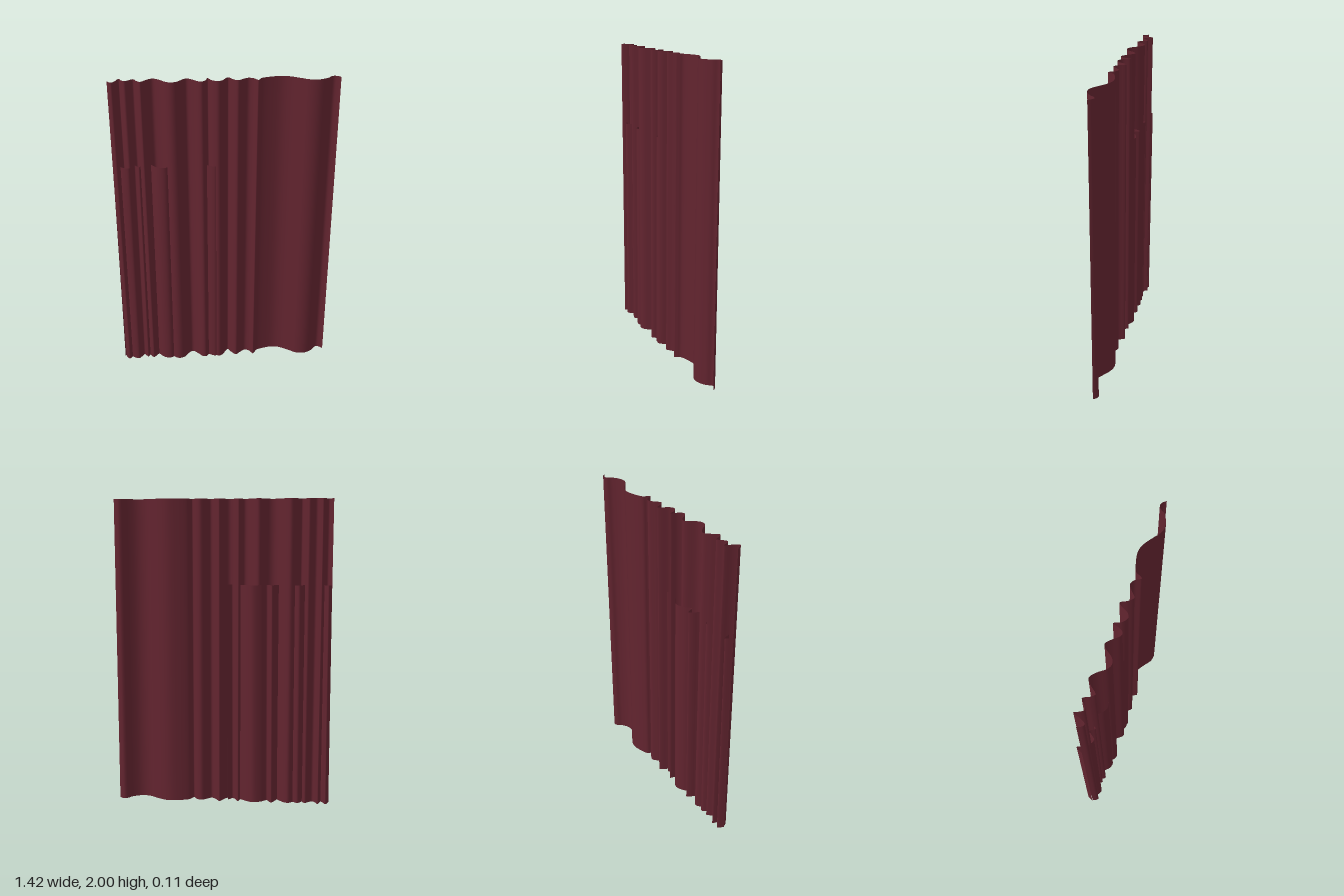
import * as THREE from 'three';

// Fold lines seen from above, as [x, z] from the right edge to the left edge
const longFolds = [
  [-0.71, 0], [-0.695, 0.028], [-0.678, 0.034], [-0.66, 0.005], [-0.643, -0.043], [-0.625, -0.01],
  [-0.607, 0.008], [-0.585, -0.005], [-0.555, -0.03], [-0.535, 0.005], [-0.515, 0.028], [-0.5, 0.02],
  [-0.475, -0.012], [-0.44, -0.038], [-0.4, -0.012], [-0.36, 0.035], [-0.325, 0.049], [-0.29, 0.033],
  [-0.255, -0.015], [-0.23, -0.028], [-0.2, -0.005], [-0.165, 0.033], [-0.14, 0.038], [-0.12, 0.012],
  [-0.106, -0.03], [-0.085, 0.012], [-0.05, 0.036], [-0.02, 0.02], [0.005, -0.025], [0.022, -0.038],
  [0.045, 0], [0.075, 0.025], [0.105, 0], [0.14, -0.025], [0.172, -0.012], [0.195, 0.023],
  [0.21, 0.005], [0.225, -0.02], [0.28, -0.042], [0.345, -0.054], [0.4, -0.04], [0.46, -0.002],
  [0.5, 0.025], [0.54, 0.035], [0.58, 0.028], [0.625, 0], [0.645, -0.028], [0.668, -0.04],
  [0.69, -0.03], [0.705, -0.012],
];
const shortFolds = [
  [-0.708, 0], [-0.685, -0.042], [-0.665, 0], [-0.64, 0.026], [-0.608, 0.036], [-0.585, 0.01],
  [-0.57, -0.008], [-0.545, 0.02], [-0.53, 0], [-0.5, -0.034], [-0.47, -0.015], [-0.43, 0.028],
  [-0.39, 0.041], [-0.36, 0.025], [-0.34, -0.02], [-0.322, -0.04], [-0.305, -0.015], [-0.29, 0.006],
  [-0.255, -0.025], [-0.205, -0.045], [-0.165, -0.03], [-0.12, 0.005], [-0.085, 0.028], [-0.06, 0.032],
  [-0.045, 0.012], [-0.03, -0.002],
];

// Hanging cloth: a flat sheet bent along its folds, drifting slightly towards the hem
function makeCloth(name, folds, height, hemShift, material) {
  const curve = new THREE.SplineCurve(folds.map(([x, z]) => new THREE.Vector2(x, z)));
  const columns = (folds.length - 1) * 6;
  const geometry = new THREE.PlaneGeometry(1, height, columns, 12);
  geometry.translate(0.5, height / 2, 0);
  const pos = geometry.attributes.position;
  for (let i = 0; i < pos.count; i++) {
    const p = curve.getPoint(THREE.MathUtils.clamp(pos.getX(i), 0, 1));
    const y = pos.getY(i);
    const drop = 1 - y / height;
    pos.setXYZ(i, p.x * (1 - 0.007 * drop) + hemShift * drop, y, p.y + 0.005 * drop);
  }
  geometry.computeVertexNormals();
  const mesh = new THREE.Mesh(geometry, material);
  mesh.name = name;
  return mesh;
}

export function createModel() {
  const fabric = new THREE.MeshStandardMaterial({ color: 0x62242f, side: THREE.DoubleSide });
  fabric.name = 'burgundy fabric';

  const curtain = new THREE.Group();
  curtain.name = 'curtain';
  curtain.add(
    makeCloth('longPanel', longFolds, 2, 0, fabric),
    makeCloth('shortPanel', shortFolds, 1.45, -0.008, fabric),
  );
  return curtain;
}
